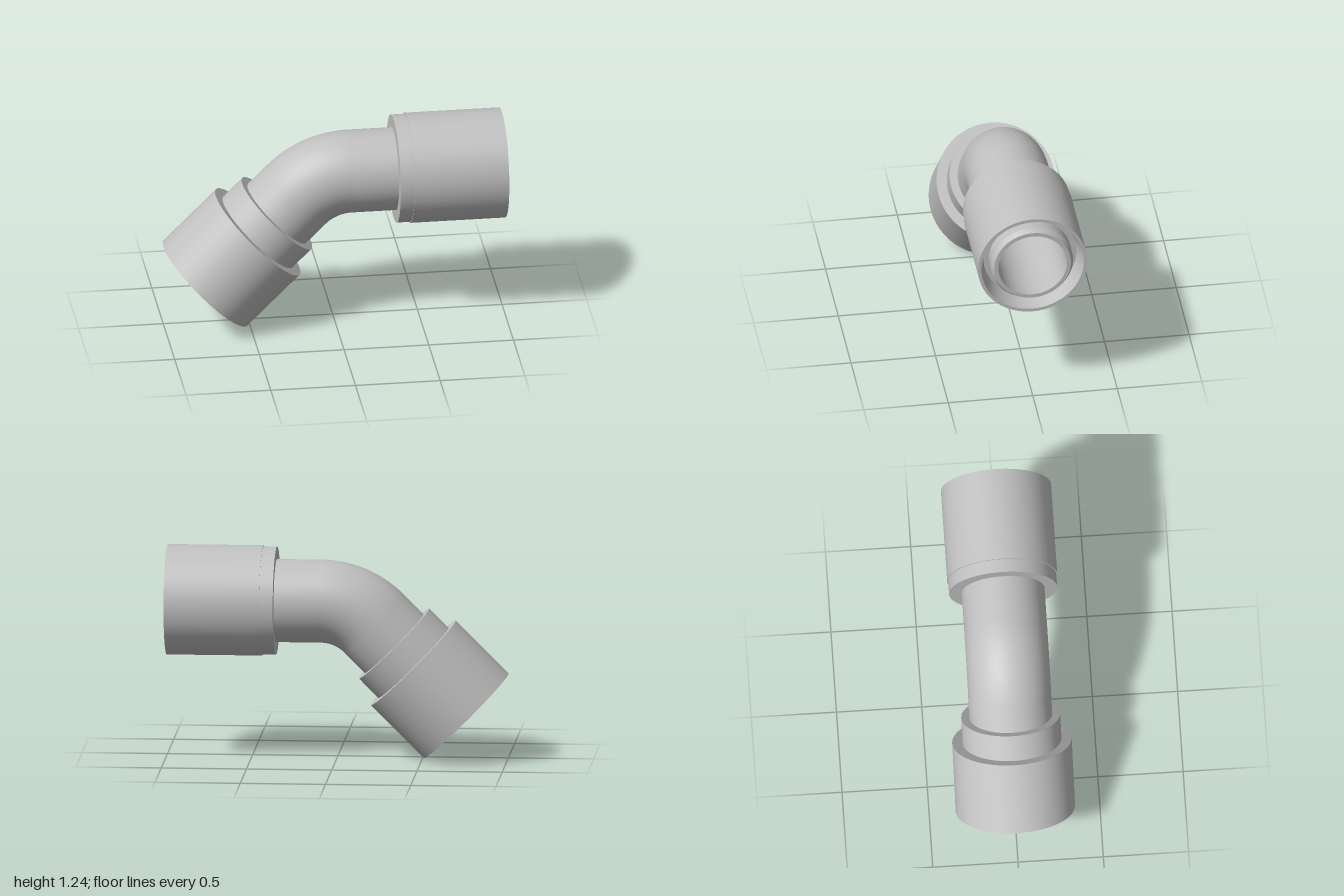
import * as THREE from 'three';
import { toCreasedNormals } from 'three/addons/utils/BufferGeometryUtils.js';

const AXIS_Y = 0.922, BEND_X = 0.1, BEND_R = 0.442;
const PIPE_R = 0.243, BORE_R = 0.203;

export function createModel() {
  const model = new THREE.Group();
  const grey = new THREE.MeshStandardMaterial({ color: 0xc0c0c0, side: THREE.DoubleSide });
  grey.name = 'light grey';

  function add(name, geometry, x, y, angle) {
    const mesh = new THREE.Mesh(geometry, grey);
    mesh.name = name;
    mesh.position.set(x, y, 0);
    mesh.rotation.z = angle;
    model.add(mesh);
  }

  // Turned part: [radius, distance along axis], outer wall first, then back down the bore
  function turned(points) {
    const profile = points.map(([r, d]) => new THREE.Vector2(r, d));
    return toCreasedNormals(new THREE.LatheGeometry(profile, 80), Math.PI / 7);
  }

  // 45 degree elbow, outer wall and bore
  for (const [name, r] of [['bendOuter', PIPE_R], ['bendBore', BORE_R]]) {
    add(name, new THREE.TorusGeometry(BEND_R, r, 80, 32, Math.PI / 4),
      BEND_X, AXIS_Y - BEND_R, Math.PI / 2);
  }

  // Horizontal pipe with a stepped sleeve around its chamfered open end
  add('sleeveEnd', turned([
    [PIPE_R, 0], [PIPE_R, 0.26],
    [0.317, 0.26], [0.317, 0.34],
    [0.323, 0.34], [0.323, 0.9],
    [0.303, 0.9], [0.275, 0.79],
    [PIPE_R, 0.79], [PIPE_R, 0.87],
    [0.226, 0.9], [BORE_R, 0.9], [BORE_R, 0],
  ]), BEND_X, AXIS_Y, -Math.PI / 2);

  // Slanted pipe with a collar and a wide socket
  const s = BEND_R * Math.SQRT1_2;
  add('socketEnd', turned([
    [PIPE_R, 0], [PIPE_R, 0.165],
    [0.29, 0.165], [0.29, 0.325],
    [0.35, 0.325], [0.35, 0.763],
    [0.328, 0.763], [0.328, 0.36],
    [BORE_R, 0.36], [BORE_R, 0],
  ]), BEND_X - s, AXIS_Y - BEND_R + s, Math.PI * 0.75);

  return model;
}
